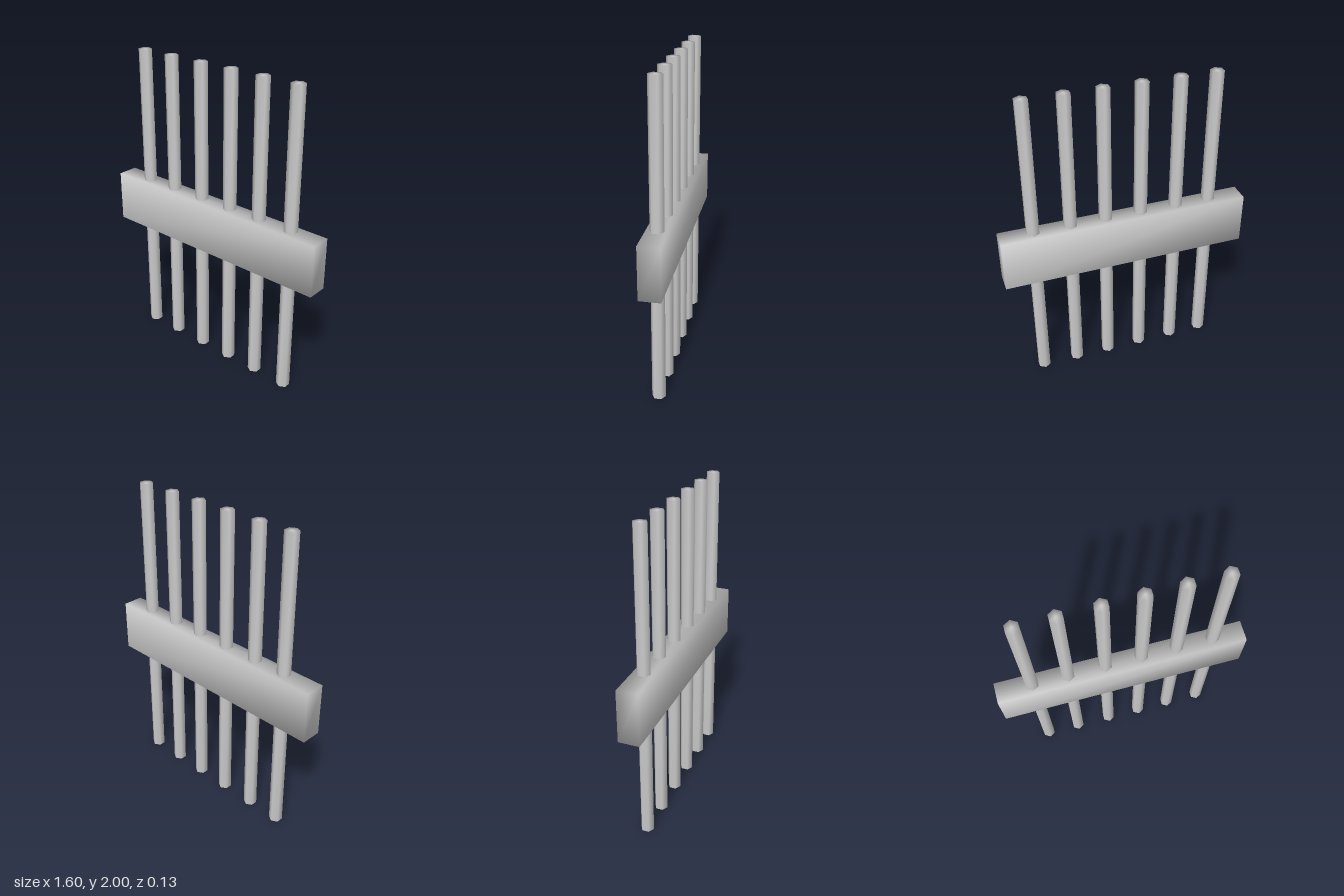
import * as THREE from 'three';
import { mergeVertices } from 'three/addons/utils/BufferGeometryUtils.js';

const material = new THREE.MeshStandardMaterial({ color: 0xcccccc });

// Weld all corners so the shading runs smoothly around every edge
function smooth(geometry) {
  geometry.deleteAttribute('normal');
  geometry.deleteAttribute('uv');
  const welded = mergeVertices(geometry, 1e-4);
  welded.computeVertexNormals();
  return welded;
}

export function createModel() {
  const group = new THREE.Group();
  group.name = 'barredFence';

  // Horizontal rail
  const rail = new THREE.Mesh(smooth(new THREE.BoxGeometry(1.6, 0.335, 0.134)), material);
  rail.name = 'crossRail';
  rail.position.y = 0.948;
  group.add(rail);

  // Six hexagonal upright bars passing through the rail
  const barGeometry = smooth(new THREE.CylinderGeometry(0.043, 0.043, 2, 6));
  [-0.57, -0.343, -0.105, 0.127, 0.355, 0.591].forEach((x, i) => {
    const bar = new THREE.Mesh(barGeometry, material);
    bar.name = `uprightBar${i + 1}`;
    bar.position.set(x, 1, 0);
    group.add(bar);
  });

  return group;
}
